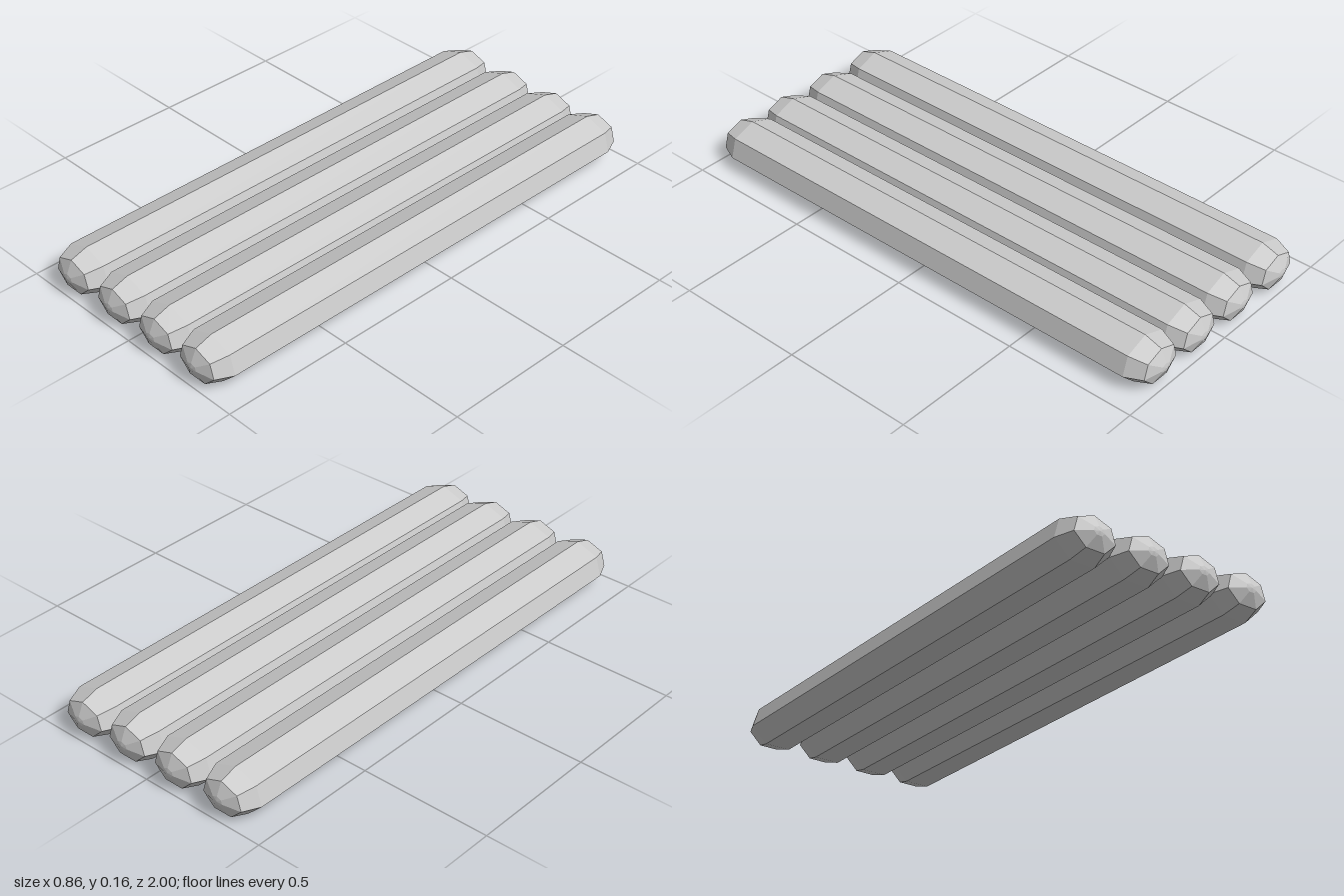
import * as THREE from 'three';

// Seven-sided log with faceted, rounded ends, lying along z
function logGeometry() {
  const cap = [[0, 1], [0.2, 0.997], [0.757, 0.975], [1, 0.91]]; // [radius, z]
  const profile = [
    ...cap.map(([r, z]) => new THREE.Vector2(r, -z)),
    ...cap.slice().reverse().map(([r, z]) => new THREE.Vector2(r, z)),
  ];
  const geometry = new THREE.LatheGeometry(profile, 7);
  geometry.rotateX(-Math.PI / 2); // one ridge on top, a flat face below
  geometry.scale(0.1125, 0.0857, 1);
  geometry.translate(0, 0.0772, 0);
  return geometry;
}

export function createModel() {
  const model = new THREE.Group();
  model.name = 'logRow';
  const material = new THREE.MeshStandardMaterial({ color: 0xcccccc, flatShading: true });
  const geometry = logGeometry();

  // Four logs side by side
  [-0.32, -0.101, 0.113, 0.318].forEach((x, i) => {
    const log = new THREE.Mesh(geometry, material);
    log.name = `log${i + 1}`;
    log.position.x = x;
    model.add(log);
  });
  return model;
}
